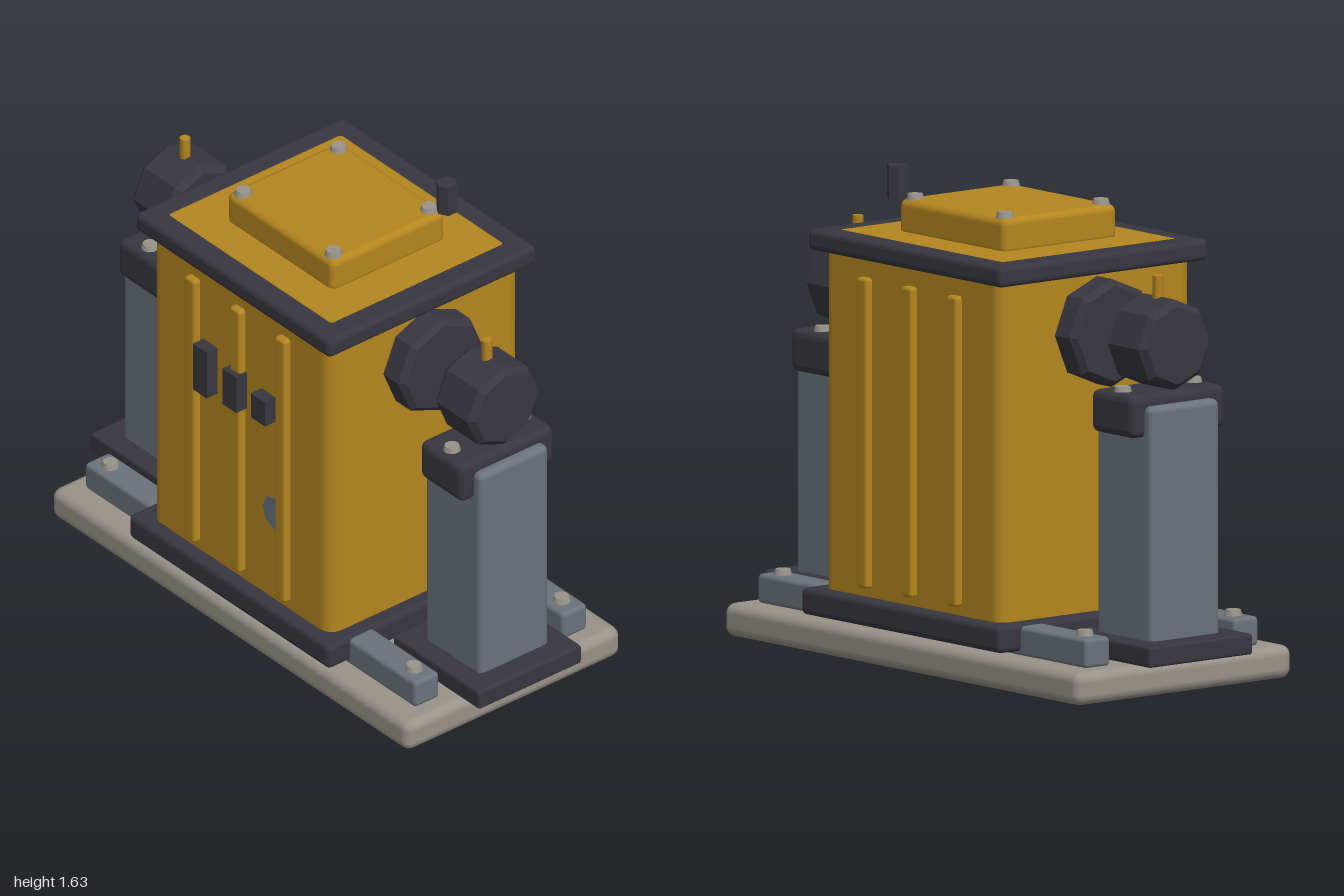
import * as THREE from 'three';
import { RoundedBoxGeometry } from 'three/addons/geometries/RoundedBoxGeometry.js';

export function createModel() {
  const model = new THREE.Group();
  model.name = 'machine';

  const material = (name, color, flat = false) => {
    const m = new THREE.MeshStandardMaterial({ color });
    m.name = name;
    m.flatShading = flat;
    return m;
  };
  const ochre = material('ochre', 0xb4861f);
  const charcoal = material('charcoal', 0x38373f, true);
  const steel = material('steel', 0x6b727a);
  const stone = material('stone', 0x98938a);

  const add = (name, geometry, mat, x, y, z, parent = model) => {
    const mesh = new THREE.Mesh(geometry, mat);
    mesh.name = name;
    mesh.position.set(x, y, z);
    parent.add(mesh);
    return mesh;
  };
  // Rounded block from its size, bottom height and centre
  const block = (name, mat, w, h, d, r, x, y0, z, parent) =>
    add(name, new RoundedBoxGeometry(w, h, d, 2, r), mat, x, y0 + h / 2, z, parent);
  // Low bolt head standing on height y
  const bolt = (x, y, z, parent) =>
    add('bolt', new THREE.CylinderGeometry(0.025, 0.031, 0.022, 10), stone, x, y + 0.009, z, parent);
  // Eight-sided drum with bevelled rims, axis along x
  const drum = (name, radius, length, bevel, x, y, parent) => {
    const h = length / 2;
    const profile = [
      [0, -h], [radius - bevel, -h], [radius, -h + bevel],
      [radius, h - bevel], [radius - bevel, h], [0, h],
    ].map(([a, b]) => new THREE.Vector2(a, b));
    const mesh = add(name, new THREE.LatheGeometry(profile, 8), charcoal, x, y, 0, parent);
    mesh.rotation.z = Math.PI / 2;
    return mesh;
  };

  // Base plate and the two cross rails
  block('basePlate', stone, 1.84, 0.112, 0.92, 0.035, 0, 0, 0);
  for (const z of [-0.316, 0.316]) {
    block('rail', steel, 1.7, 0.1, 0.106, 0.015, 0, 0.108, z);
    for (const x of [-0.78, 0.78]) bolt(x, 0.207, z);
  }

  // Housing with its lower and upper flanges
  block('housing', ochre, 0.92, 1.297, 0.82, 0.05, 0, 0.115, 0);
  block('lowerFlange', charcoal, 1.03, 0.09, 0.92, 0.018, 0, 0.125, 0);
  block('upperFlange', charcoal, 1.0, 0.07, 0.89, 0.018, 0, 1.34, 0);

  // Vertical ribs on front and back
  for (const z of [-0.412, 0.412]) {
    for (const x of [-0.232, 0, 0.232]) {
      block('rib', ochre, 0.054, 1.035, 0.048, 0.012, x, 0.245, z);
    }
  }

  // Front vents stepping down in height, and the round plug
  [[-0.152, 0.18], [0, 0.14], [0.147, 0.095]].forEach(([x, h]) => {
    add('vent', new THREE.BoxGeometry(0.072, h, 0.055), charcoal, x, 0.966, 0.4285);
  });
  const plug = add('plug', new THREE.CylinderGeometry(0.063, 0.063, 0.03, 8), steel, 0.185, 0.558, 0.401);
  plug.rotation.x = Math.PI / 2;

  // Raised lid, its bolts and the hexagonal cap
  block('lid', ochre, 0.55, 0.125, 0.485, 0.025, 0, 1.395, 0);
  for (const x of [-0.232, 0.232]) for (const z of [-0.204, 0.204]) bolt(x, 1.517, z);
  add('cap', new THREE.CylinderGeometry(0.036, 0.036, 0.11, 6), charcoal, 0.275, 1.577, -0.245);

  // Mirrored side supports
  for (const s of [-1, 1]) {
    const side = new THREE.Group();
    side.name = s > 0 ? 'leftSupport' : 'rightSupport';
    model.add(side);
    drum('sideBoss', 0.18, 0.2, 0.02, s * 0.455, 1.15, side);
    block('foot', charcoal, 0.444, 0.07, 0.44, 0.01, s * 0.778, 0.115, 0, side);
    block('post', steel, 0.288, 0.8, 0.296, 0.022, s * 0.776, 0.165, 0, side);
    block('saddle', charcoal, 0.22, 0.143, 0.4, 0.025, s * 0.776, 0.86, 0, side);
    for (const z of [-0.15, 0.15]) bolt(s * 0.776, 1.0, z, side);
    drum('knob', 0.152, 0.2, 0.022, s * 0.778, 1.152, side);
    add('pin', new THREE.CylinderGeometry(0.018, 0.018, 0.09, 8), ochre, s * 0.776, 1.328, 0, side);
  }

  return model;
}
